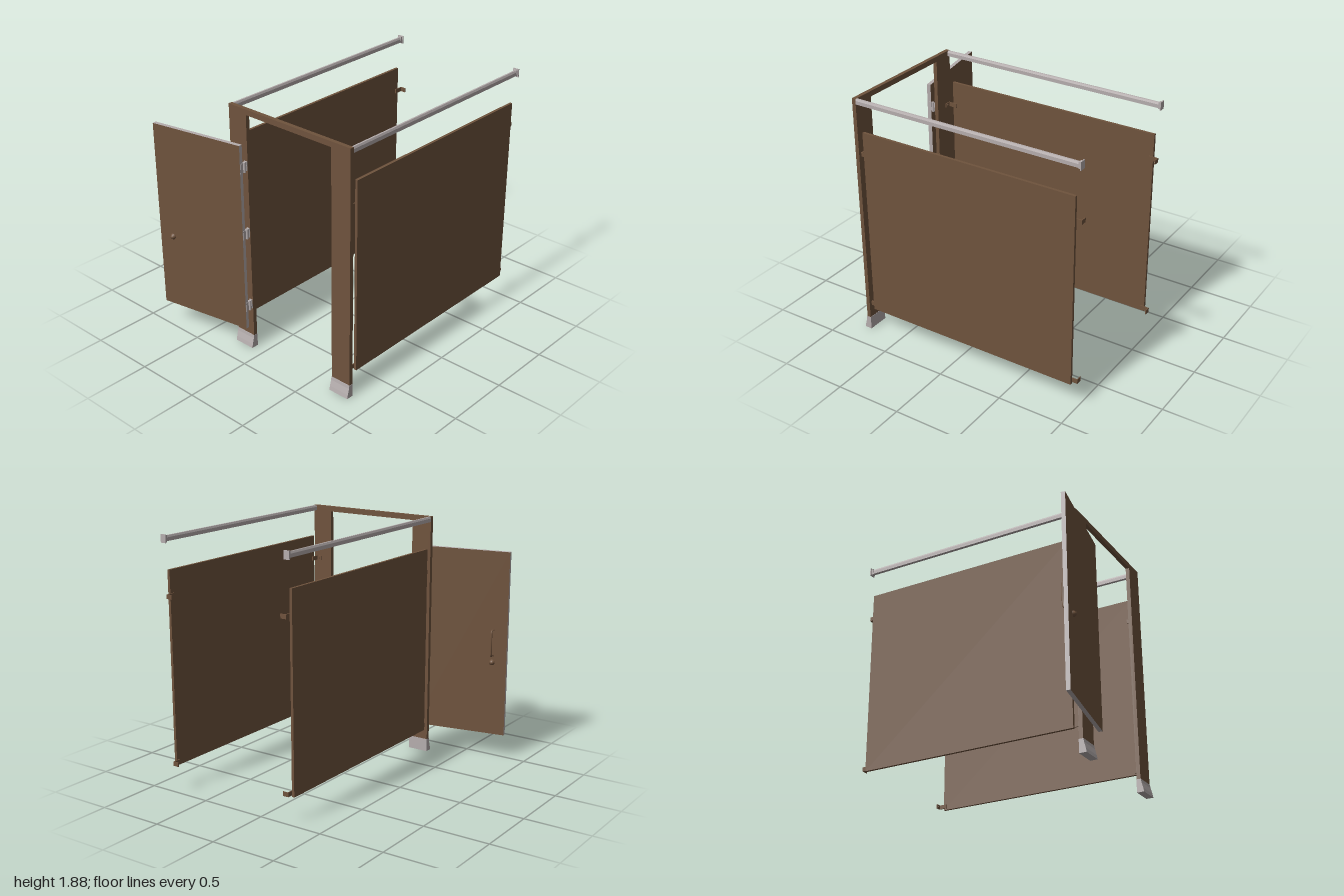
import * as THREE from 'three';

const brown = new THREE.MeshStandardMaterial({ color: 0x6f533d });
brown.name = 'brown panel';
const steel = new THREE.MeshStandardMaterial({ color: 0xb5adad });
steel.name = 'brushed steel';

function add(parent, name, geometry, material, x = 0, y = 0, z = 0) {
  const mesh = new THREE.Mesh(geometry, material);
  mesh.name = name;
  mesh.position.set(x, y, z);
  parent.add(mesh);
  return mesh;
}

const box = (w, h, d) => new THREE.BoxGeometry(w, h, d);

function polygon(points) {
  return new THREE.Shape(points.map(([x, y]) => new THREE.Vector2(x, y)));
}

function extrude(points, depth) {
  return new THREE.ExtrudeGeometry(polygon(points), { depth, bevelEnabled: false });
}

// Two posts joined by a header
function addFrame(group) {
  const outline = [
    [-0.262, 0.09], [-0.1, 0.09], [-0.1, 1.83], [0.66, 1.83],
    [0.66, 0.09], [0.822, 0.09], [0.822, 1.87], [-0.262, 1.87],
  ];
  add(group, 'frontFrame', extrude(outline, 0.03), brown, 0, 0, 0.77);

  // Flared post shoes
  const profile = [[0.768, 0], [0.824, 0], [0.818, 0.03], [0.806, 0.075], [0.803, 0.1], [0.768, 0.1]];
  for (const right of [-0.099, 0.823]) {
    const shoe = add(group, 'postShoe', extrude(profile, 0.164), steel, right);
    shoe.rotation.y = -Math.PI / 2;
  }
}

// Partition, brackets and head rail; inward is the direction of the stall interior
function addSide(group, x, inward) {
  const side = new THREE.Group();
  side.name = 'sidePartition';
  side.position.x = x;
  group.add(side);
  add(side, 'panel', box(0.02, 1.44, 1.69), brown, 0, 0.91 - 0.002, -0.115);

  // L brackets at both ends of the panel
  for (const y of [0.215, 1.445]) {
    for (const [wall, dir] of [[0.77, -1], [-1, 1]]) {
      add(side, 'bracketTab', box(0.008, 0.032, 0.07), brown, inward * 0.014, y, wall + dir * 0.035);
      add(side, 'bracketFlange', box(0.042, 0.032, 0.007), brown, inward * 0.035, y, wall + dir * 0.0035);
      const screw = add(side, 'bracketScrew', new THREE.CylinderGeometry(0.007, 0.007, 0.006, 12),
        brown, inward * 0.037, y, wall + dir * 0.01);
      screw.rotation.x = Math.PI / 2;
    }
  }

  // Ridged head rail with its wall flange
  const rail = [
    [-0.012, -0.02], [0.012, -0.02], [0.012, 0.006], [0.006, 0.02], [-0.006, 0.02], [-0.012, 0.006],
  ];
  add(side, 'headRail', extrude(rail, 1.77), steel, 0, 1.85, -1);
  add(side, 'railFlange', box(0.046, 0.06, 0.008), steel, 0, 1.85, -0.996);
  add(side, 'railSocket', box(0.03, 0.047, 0.016), steel, 0, 1.85, -0.986);
}

// Open door with steel edges, knob, pull handle
function addDoor(group) {
  const door = new THREE.Group();
  door.name = 'door';
  door.position.set(-0.468, 0, 0.92);
  door.rotation.y = 0.177;
  group.add(door);
  add(door, 'doorLeaf', box(0.737, 1.44, 0.03), [steel, steel, steel, steel, brown, brown], 0, 0.908, 0);

  const knobProfile = [[0, 0.022], [0.012, 0.02], [0.015, 0.012], [0.022, 0.006], [0.022, 0]];
  for (const face of [1, -1]) {
    const knob = add(door, face > 0 ? 'latchKnob' : 'latchTurn',
      new THREE.LatheGeometry(knobProfile.map(([r, h]) => new THREE.Vector2(r, h)).reverse(), 20),
      brown, -0.255, 0.765, face * 0.015);
    knob.rotation.x = face * Math.PI / 2;
  }

  const path = new THREE.CatmullRomCurve3([
    [0.82, -0.014], [0.825, -0.045], [0.86, -0.052], [0.98, -0.052], [1.015, -0.045], [1.02, -0.014],
  ].map(([y, z]) => new THREE.Vector3(-0.255, y, z)));
  add(door, 'pullHandle', new THREE.TubeGeometry(path, 32, 0.008, 10), brown);
  for (const y of [0.82, 1.02]) {
    const foot = add(door, 'handleFoot', new THREE.CylinderGeometry(0.014, 0.014, 0.006, 16), brown, -0.255, y, -0.018);
    foot.rotation.x = Math.PI / 2;
  }
}

// Barrel hinges between post and door
function addHinges(group) {
  for (const y of [0.365, 0.945, 1.455]) {
    add(group, 'hingeBarrel', new THREE.CylinderGeometry(0.011, 0.011, 0.076, 14), steel, -0.108, y, 0.824);
    add(group, 'hingePostLeaf', box(0.026, 0.07, 0.006), steel, -0.116, y, 0.803);
    add(group, 'hingeLink', box(0.008, 0.07, 0.044), steel, -0.112, y, 0.824);
    const leaf = add(group, 'hingeDoorLeaf', box(0.005, 0.07, 0.028), steel, -0.105, y, 0.853);
    leaf.rotation.y = 0.177;
  }
}

export function createModel() {
  const group = new THREE.Group();
  group.name = 'toiletStall';
  addFrame(group);
  addSide(group, -0.25, 1);
  addSide(group, 0.81, -1);
  addDoor(group);
  addHinges(group);
  return group;
}
